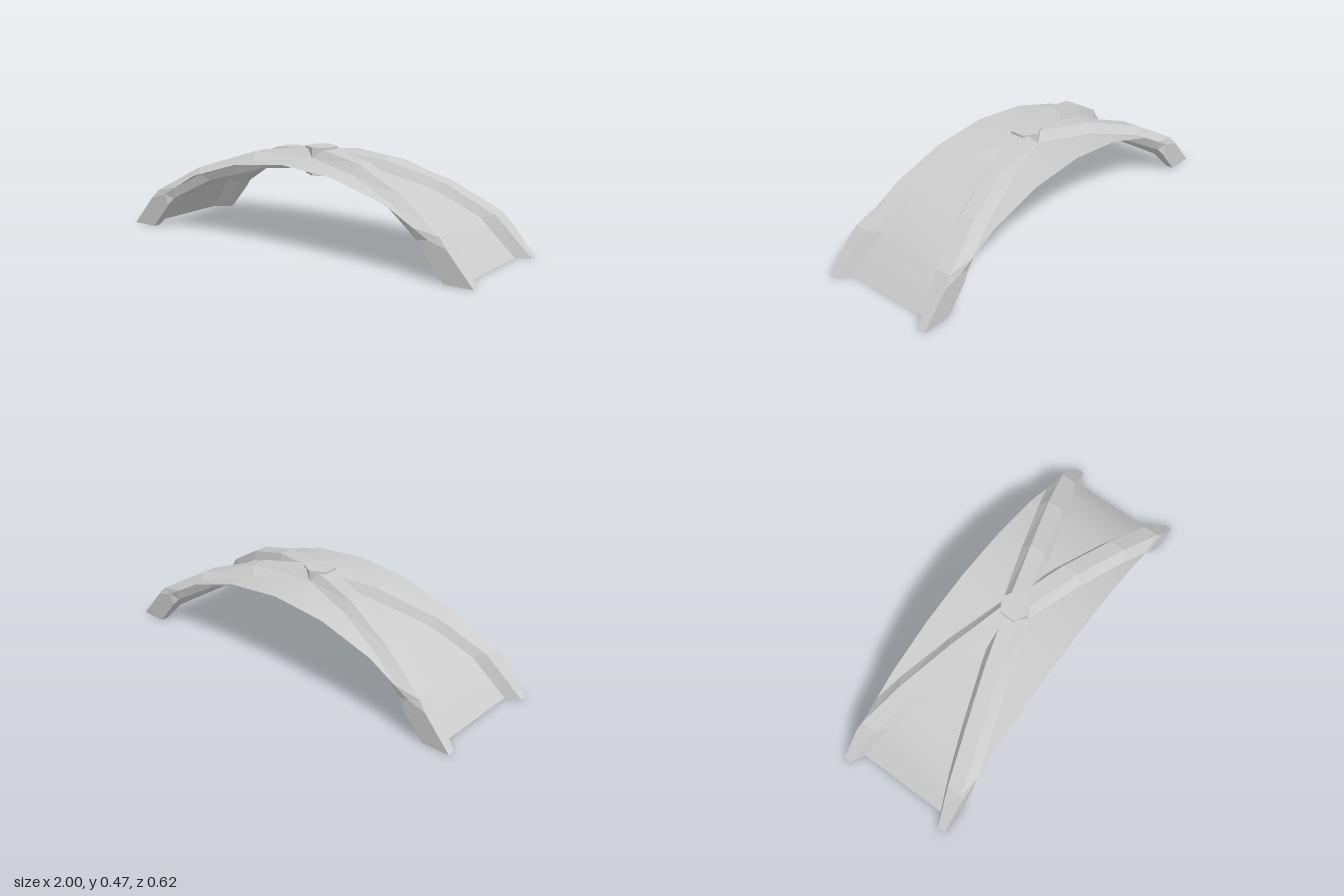
import * as THREE from 'three';

const HALF_DEPTH = 0.31;
const EDGE = 0.04;   // half width of a rib's top and bottom faces
const BELLY = 0.076; // half width of a rib at mid height

// Arch stations from crown to springing: outer, middle and inner [x, y]
const ARCH = [
  [[0, 0.462], [0, 0.415], [0, 0.365]],
  [[0.315, 0.426], [0.2875, 0.386], [0.26, 0.347]],
  [[0.6, 0.33], [0.565, 0.301], [0.53, 0.27]],
  [[0.83, 0.195], [0.775, 0.18], [0.72, 0.165]],
  [[1, 0], [0.93, 0], [0.86, 0]],
];

// Station interpolated at a given middle x
function stationAt(x) {
  let i = 0;
  while (i < ARCH.length - 2 && ARCH[i + 1][1][0] < x) i++;
  const a = ARCH[i], b = ARCH[i + 1];
  const t = (x - a[1][0]) / (b[1][0] - a[1][0]);
  return a.map((p, k) => p.map((v, c) => v + (b[k][c] - v) * t));
}

// Mirror half of the stations into a full span
function fullSpan(half) {
  const flipped = half.slice(1).reverse().map(s => s.map(([x, y]) => [-x, y]));
  return [...flipped, ...half];
}

// Hexagonal rib on a diagonal, trimmed flush with the vault's open ends
function ribGeometry(side) {
  // extra stations where the belly and the edges meet the trimming plane
  const trims = [BELLY, EDGE].map(w => (HALF_DEPTH - w) * 3);
  const half = [...ARCH, ...trims.map(stationAt)].sort((a, b) => a[1][0] - b[1][0]);
  const rings = fullSpan(half).map(([o, m, n]) => {
    const point = ([x, y], w) => {
      const z = THREE.MathUtils.clamp(m[0] / 3 + w, -HALF_DEPTH, HALF_DEPTH);
      return [x, y, z * side];
    };
    return [point(o, -EDGE), point(o, EDGE), point(m, BELLY),
      point(n, EDGE), point(n, -EDGE), point(m, -BELLY)];
  });

  const pos = [];
  const tri = (a, b, c) => pos.push(...a, ...(side > 0 ? b : c), ...(side > 0 ? c : b));
  for (let i = 0; i < rings.length - 1; i++) {
    for (let k = 0; k < 6; k++) {
      const n = (k + 1) % 6;
      const a = rings[i][k], b = rings[i][n], c = rings[i + 1][n], d = rings[i + 1][k];
      if (k === 1 || k === 5) { tri(a, b, d); tri(b, c, d); }
      else { tri(a, b, c); tri(a, c, d); }
    }
  }
  // feet
  const first = rings[0], last = rings[rings.length - 1];
  for (let k = 1; k < 5; k++) {
    tri(first[0], first[k + 1], first[k]);
    tri(last[0], last[k], last[k + 1]);
  }
  const geo = new THREE.BufferGeometry();
  geo.setAttribute('position', new THREE.Float32BufferAttribute(pos, 3));
  geo.computeVertexNormals();
  return geo;
}

// Thin smooth barrel shell along the middle line of the arch
function vaultGeometry() {
  const line = fullSpan(ARCH).map(s => s[1]);
  const geo = new THREE.PlaneGeometry(1, 1, line.length - 1, 1);
  const p = geo.attributes.position;
  for (let i = 0; i < p.count; i++) {
    const [x, y] = line[i % line.length];
    p.setXYZ(i, x, y, i < line.length ? -HALF_DEPTH : HALF_DEPTH);
  }
  geo.computeVertexNormals();
  return geo;
}

export function createModel() {
  const model = new THREE.Group();
  model.name = 'ribVault';
  const flat = new THREE.MeshStandardMaterial({ color: 0xcccccc, flatShading: true });
  const smooth = new THREE.MeshStandardMaterial({ color: 0xcccccc, side: THREE.DoubleSide });
  const add = (name, geo, mat) => {
    const mesh = new THREE.Mesh(geo, mat);
    mesh.name = name;
    model.add(mesh);
    return mesh;
  };

  add('vaultShell', vaultGeometry(), smooth);
  add('diagonalRibA', ribGeometry(1), flat);
  add('diagonalRibB', ribGeometry(-1), flat);

  // Hexagonal keystone where the ribs cross
  const boss = add('keystoneBoss', new THREE.CylinderGeometry(0.077, 0.077, 0.137, 6), flat);
  boss.position.y = 0.398;
  return model;
}
